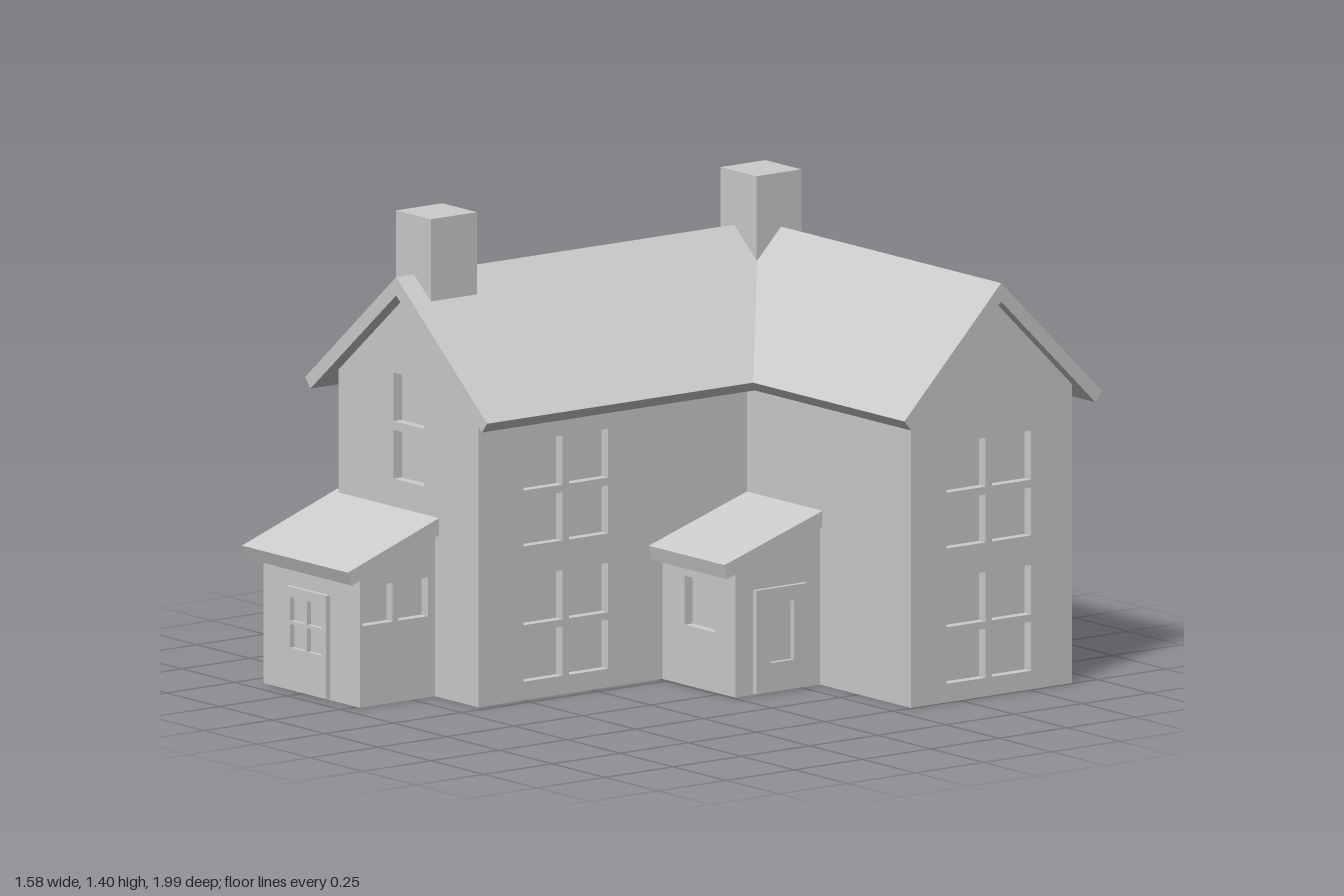
import * as THREE from 'three';

const DEPTH = 0.03; // window recess depth
const QUARTER = Math.PI / 2;

export function createModel() {
  const house = new THREE.Group();
  house.name = 'house';
  const material = new THREE.MeshStandardMaterial({ color: 0xcccccc });

  function add(name, geometry) {
    const mesh = new THREE.Mesh(geometry, material);
    mesh.name = name;
    house.add(mesh);
    return mesh;
  }

  // Box given by its lower and upper limits
  function block(name, x0, x1, y0, y1, z0, z1) {
    const geometry = new THREE.BoxGeometry(x1 - x0, y1 - y0, z1 - z0);
    return add(name, geometry.translate((x0 + x1) / 2, (y0 + y1) / 2, (z0 + z1) / 2));
  }

  const rect = (u0, u1, v0, v1) => [[u0, v0], [u1, v0], [u1, v1], [u0, v1]];
  const toVectors = (points) => points.map(([u, v]) => new THREE.Vector2(u, v));

  // Outline with openings, extruded inward from a face. Facing 'front' uses u = x,
  // 'right' uses u = -z and 'left' uses u = z; "at" is the position of the outer face.
  function wall(name, facing, at, depth, outline, openings = []) {
    const shape = new THREE.Shape(toVectors(outline));
    openings.forEach((o) => shape.holes.push(new THREE.Path(toVectors(rect(...o)))));
    const geometry = new THREE.ExtrudeGeometry(shape, { depth, bevelEnabled: false });
    geometry.translate(0, 0, -depth);
    const mesh = add(name, geometry);
    if (facing === 'front') mesh.position.z = at;
    else {
      mesh.rotation.y = facing === 'right' ? QUARTER : -QUARTER;
      mesh.position.x = facing === 'right' ? at : -Math.abs(at);
    }
    return mesh;
  }

  // All combinations of column and row intervals
  const panes = (columns, rows) => columns.flatMap((c) => rows.map((r) => [...c, ...r]));
  const gable = (u0, u1, eave, peak) =>
    [[u0, 0], [u1, 0], [u1, eave], [(u0 + u1) / 2, peak], [u0, eave]];

  const upperRows = [[0.62, 0.765], [0.455, 0.597]];
  const lowerRows = [[0.222, 0.368], [0.055, 0.2]];
  const allRows = [...upperRows, ...lowerRows];

  // Front wing: solid core with pierced walls around it
  wall('frontWingCore', 'front', 0.635, 1.25, gable(-0.66, -0.06, 0.9, 1.18));
  wall('frontGable', 'front', 0.665, DEPTH, gable(-0.69, -0.03, 0.9, 1.18),
    panes([[-0.43, -0.287]], [[0.782, 0.926], [0.612, 0.756]]));
  wall('frontWingRightWall', 'right', -0.03, DEPTH, rect(-0.665, 0.33, 0, 0.89),
    panes([[-0.5, -0.357], [-0.333, -0.19]], allRows)).position.x = -0.03;
  wall('frontWingLeftWall', 'left', -0.69, DEPTH, rect(-0.91, 0.665, 0, 0.89),
    panes([[-0.76, -0.617], [-0.593, -0.45], [0.19, 0.333], [0.357, 0.5]], upperRows));

  // Rear wing and the corner joining both wings
  wall('rearWingCore', 'right', 0.715, 1.075, gable(0.32, 0.91, 0.89, 1.18));
  wall('rearGable', 'right', 0.745, DEPTH, gable(0.32, 0.91, 0.89, 1.18),
    panes([[0.45, 0.593], [0.617, 0.76]], allRows));
  block('cornerCore', -0.66, -0.3, 0, 0.88, -0.91, -0.55);

  // Main roof: a pitched slab section swept round the mitred corner
  const section = [ // x along the front wing, height, z along the rear wing
    [-0.79, 0.86, -0.99], [-0.36, 1.225, -0.62], [0.07, 0.86, -0.265],
    [0.045, 0.83, -0.29], [-0.36, 1.17, -0.62], [-0.765, 0.83, -0.965],
  ];
  const stations = [
    section.map(([x, y]) => [x, y, 0.71]),
    section,
    section.map(([, y, z]) => [0.785, y, z]),
  ];
  const vertices = [];
  const quad = (a, b, c, d) => vertices.push(...a, ...b, ...c, ...a, ...c, ...d);
  for (let s = 0; s < 2; s++) {
    for (let i = 0; i < 6; i++) {
      const j = (i + 1) % 6;
      quad(stations[s][i], stations[s][j], stations[s + 1][j], stations[s + 1][i]);
    }
  }
  const [f, , e] = stations;
  quad(f[0], f[5], f[4], f[1]);
  quad(f[1], f[4], f[3], f[2]);
  quad(e[0], e[1], e[4], e[5]);
  quad(e[1], e[2], e[3], e[4]);
  const roof = new THREE.BufferGeometry();
  roof.setAttribute('position', new THREE.Float32BufferAttribute(vertices, 3));
  roof.computeVertexNormals();
  add('mainRoof', roof);

  // Chimneys
  block('frontChimney', -0.445, -0.28, 1.05, 1.4, 0.475, 0.645);
  block('rearChimney', -0.425, -0.255, 1.05, 1.385, -0.695, -0.53);

  // Front porch with lean-to roof, side windows and door
  wall('frontPorchCore', 'right', -0.265, 0.425,
    [[-0.94, 0], [-0.65, 0], [-0.65, 0.49], [-0.94, 0.39]]).position.x = -0.265;
  wall('frontPorchSideWall', 'right', -0.235, DEPTH,
    [[-0.94, 0], [-0.65, 0], [-0.65, 0.49], [-0.94, 0.39]],
    panes([[-0.93, -0.82], [-0.8, -0.69]], [[0.24, 0.355]])).position.x = -0.235;
  wall('frontPorchRoof', 'right', -0.215, 0.5,
    [[-0.985, 0.37], [-0.65, 0.485], [-0.65, 0.535], [-1, 0.41]]).position.x = -0.215;
  wall('frontDoor', 'front', 0.955, 0.015, rect(-0.565, -0.375, 0.005, 0.31),
    panes([[-0.545, -0.475], [-0.465, -0.395]], [[0.21, 0.28], [0.13, 0.2]]));

  // Side porch in the inner corner
  wall('sidePorchCore', 'right', 0.315, 0.36,
    [[0.04, 0], [0.34, 0], [0.34, 0.476], [0.04, 0.386]]);
  wall('sidePorchFrontWall', 'front', -0.01, DEPTH, rect(-0.04, 0.315, 0, 0.378),
    [[0.075, 0.22, 0.177, 0.322]]);
  wall('sidePorchRoof', 'right', 0.328, 0.358,
    [[-0.03, 0.357], [0.34, 0.475], [0.34, 0.522], [-0.04, 0.4]]);
  wall('sideDoor', 'right', 0.33, 0.015, rect(0.075, 0.263, 0.005, 0.31),
    [[0.127, 0.213, 0.09, 0.265]]);

  return house;
}
